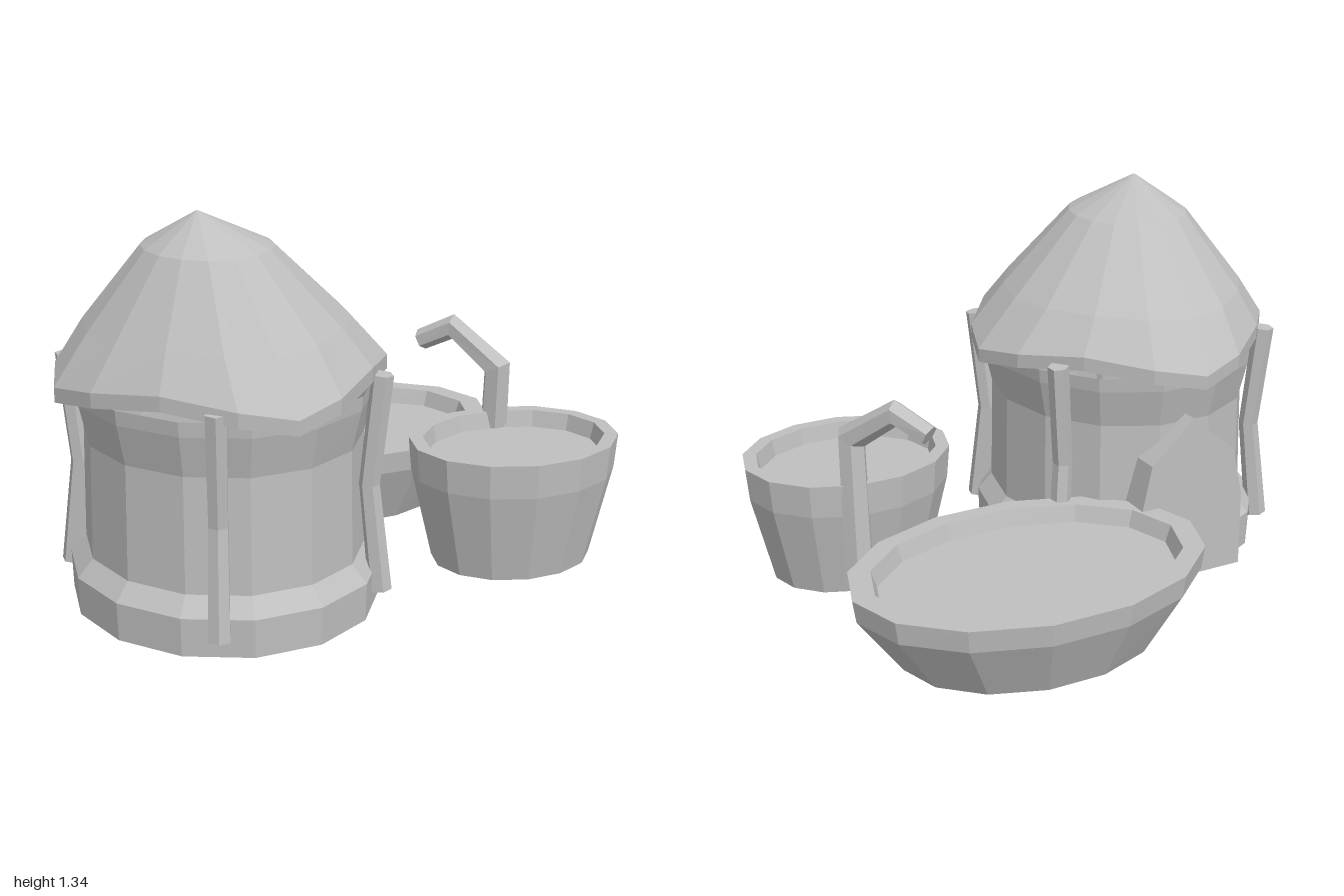
import * as THREE from 'three';

const clay = new THREE.MeshStandardMaterial({ color: 0xbfbfbf, flatShading: true, side: THREE.DoubleSide });
clay.name = 'plain grey';

// Skin a list of equal-length point loops, with optional end caps
function loft(loops, capStart, capEnd) {
  const pos = [];
  const tri = (...pts) => pts.forEach((p) => pos.push(p.x, p.y, p.z));
  const n = loops[0].length;
  for (let k = 0; k < loops.length - 1; k++) {
    for (let i = 0; i < n; i++) {
      const j = (i + 1) % n;
      const [a, b, c, d] = [loops[k][i], loops[k][j], loops[k + 1][i], loops[k + 1][j]];
      tri(a, c, b);
      tri(b, c, d);
    }
  }
  const cap = (loop, flip) => {
    const mid = loop.reduce((s, p) => s.add(p), new THREE.Vector3()).divideScalar(n);
    loop.forEach((p, i) => {
      const q = loop[(i + 1) % n];
      if (flip) tri(mid, q, p);
      else tri(mid, p, q);
    });
  };
  if (capStart) cap(loops[0], false);
  if (capEnd) cap(loops[loops.length - 1], true);
  const g = new THREE.BufferGeometry();
  g.setAttribute('position', new THREE.Float32BufferAttribute(pos, 3));
  g.computeVertexNormals();
  return g;
}

// Horizontal elliptical loop; wave lowers the four cardinal points, pinch draws the diagonals in
function ring(n, cx, cz, rx, rz, y, wave = 0, pinch = 0) {
  return Array.from({ length: n }, (_, i) => {
    const t = (i / n) * Math.PI * 2;
    const a = t - 0.6 * pinch * Math.sin(4 * t);
    const r = 1 - pinch * (1 - Math.cos(4 * t)) / 2;
    return new THREE.Vector3(cx + rx * r * Math.cos(a), y - wave * Math.cos(4 * t), cz + rz * r * Math.sin(a));
  });
}

// Mitred polygonal bar through points; side is perpendicular to the bend plane
function bar(points, radii, side, sides = 6) {
  const p = points.map((a) => new THREE.Vector3(...a));
  const v = new THREE.Vector3(...side).normalize();
  const loops = p.map((c, k) => {
    const before = p[k].clone().sub(p[Math.max(k - 1, 0)]).normalize();
    const after = p[Math.min(k + 1, p.length - 1)].clone().sub(p[k]).normalize();
    const t = before.clone().add(after).normalize();
    const miter = 1 / Math.max(t.dot(after.lengthSq() ? after : before), 0.5);
    const u = new THREE.Vector3().crossVectors(v, t).normalize();
    return Array.from({ length: sides }, (_, i) => {
      const a = (i / sides) * Math.PI * 2;
      return c.clone()
        .addScaledVector(u, Math.cos(a) * radii[k] * miter)
        .addScaledVector(v, Math.sin(a) * radii[k]);
    });
  });
  return loft(loops, true, true);
}

export function createModel() {
  const model = new THREE.Group();
  const add = (name, geometry) => {
    const mesh = new THREE.Mesh(geometry, clay);
    mesh.name = name;
    model.add(mesh);
    return mesh;
  };

  // Hut: open-bottomed wall with a plinth and a flared top
  const hx = -0.427, hz = 0.25;
  const wall = [[0.515, 0.551, 0], [0.52, 0.555, 0.13], [0.467, 0.502, 0.19],
    [0.462, 0.495, 0.58], [0.495, 0.53, 0.72], [0.5, 0.535, 0.77]];
  add('hutWall', loft(wall.map(([rx, rz, y]) => ring(14, hx, hz, rx, rz, y))));

  // Thatched roof: wavy lip below a dome leaning to one side
  add('roof', loft([
    ring(16, hx, hz, 0.47, 0.5, 0.772, 0.026),
    ring(16, hx, hz, 0.573, 0.622, 0.772, 0.028, 0.115),
    ring(16, hx, hz, 0.574, 0.623, 0.822, 0.028, 0.115),
    ring(16, -0.444, 0.252, 0.444, 0.492, 0.965, 0.006, 0.05),
    ring(16, -0.49, 0.295, 0.213, 0.235, 1.22),
    ring(16, -0.535, 0.325, 0.002, 0.002, 1.34),
  ]));

  // Four bent posts around the wall
  for (const [x, z] of [[-0.645, 0.745], [-0.01, 0.595], [0.0, -0.08], [-0.865, -0.07]]) {
    const out = new THREE.Vector3(x - hx, 0, z - hz).normalize();
    add('post', bar([
      [x, 0.06, z],
      [x - out.x * 0.04, 0.43, z - out.z * 0.04],
      [x, 0.81, z],
    ], [0.04, 0.035, 0.038], [-out.z, 0, out.x]));
  }

  // Pointed door at the back: a flat panel with a jamb running into the wall, open below
  const outline = [[-0.21, 0], [-0.21, 0.28], [-0.17, 0.46], [0, 0.61], [0.17, 0.46], [0.21, 0.28], [0.21, 0]]
    .map(([x, y]) => new THREE.Vector2(x, y));
  const panel = new THREE.ShapeGeometry(new THREE.Shape(outline)).rotateY(Math.PI);
  add('backDoorPanel', panel).position.set(hx, 0, -0.3);
  const jamb = new THREE.PlaneGeometry(1, 1, outline.length - 1, 1);
  for (let i = 0; i < jamb.attributes.position.count; i++) {
    const { x, y } = outline[i % outline.length];
    jamb.attributes.position.setXYZ(i, x, y, i < outline.length ? 0.12 : 0);
  }
  jamb.computeVertexNormals();
  add('backDoorJamb', jamb).position.set(hx, 0, -0.3);

  // Large oval basin, open underneath
  const basin = [[0.465, 0.345, 0], [0.622, 0.442, 0.215], [0.634, 0.453, 0.295],
    [0.555, 0.39, 0.295], [0.535, 0.372, 0.235]];
  add('basin', loft(basin.map(([rx, rz, y]) => ring(14, 0.303, -0.437, rx, rz, y)), false, true));

  // Small tub, open underneath
  const tub = [[0.292, 0.242, 0], [0.371, 0.31, 0.325], [0.382, 0.318, 0.445],
    [0.333, 0.27, 0.445], [0.32, 0.258, 0.385]];
  add('tub', loft(tub.map(([rx, rz, y]) => ring(14, 0.617, 0.383, rx, rz, y)), false, true));

  // Bent spout leaning over the basin
  add('spout', bar([
    [0.705, 0.09, 0.08], [0.70, 0.61, 0.115], [0.6, 0.735, -0.04], [0.52, 0.672, -0.135],
  ], [0.055, 0.049, 0.041, 0.039], [0.83, 0, -0.55]));

  return model;
}
